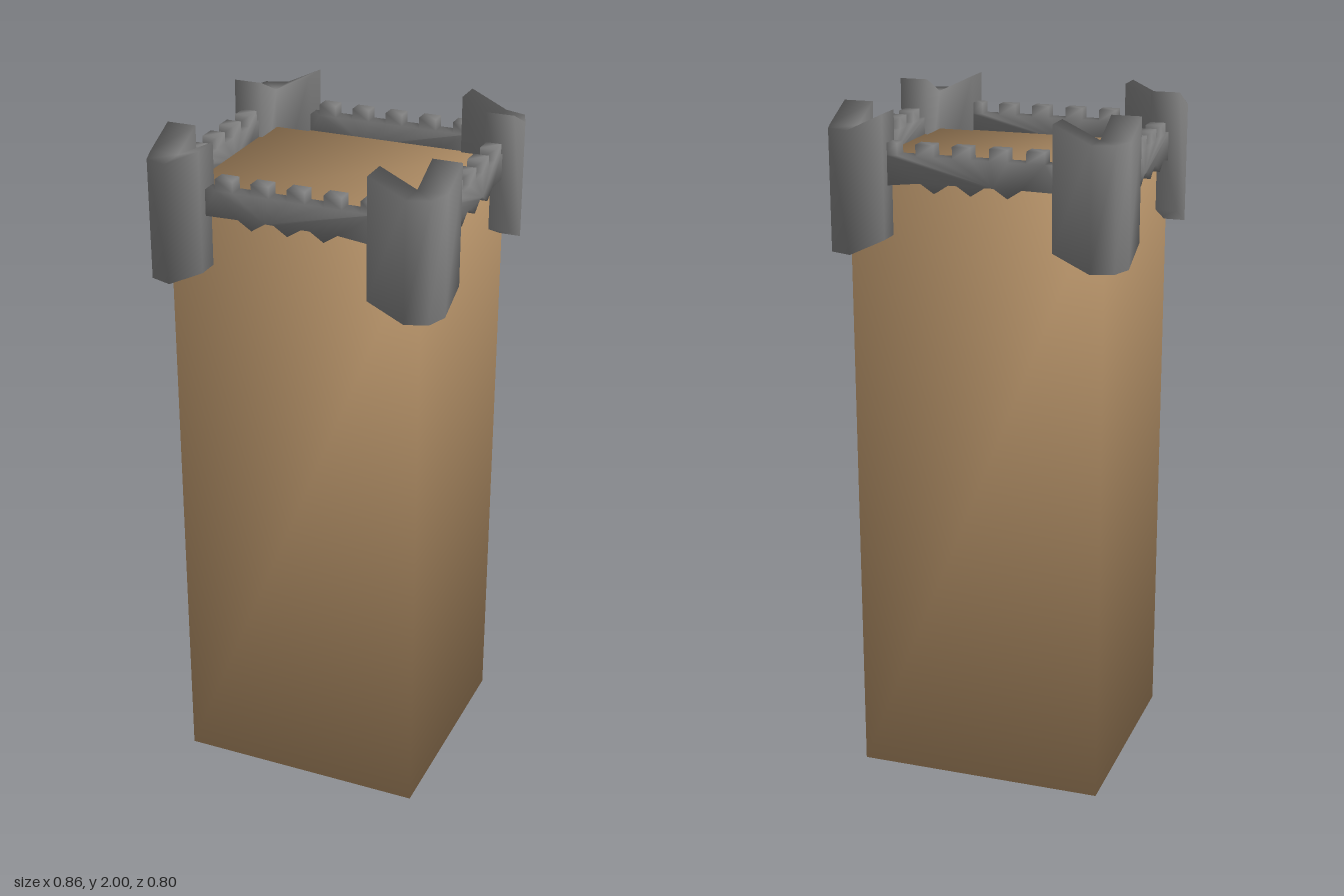
import * as THREE from 'three';
import { mergeVertices } from 'three/addons/utils/BufferGeometryUtils.js';

const stone = new THREE.MeshStandardMaterial({ color: 0x808080 });
const clay = new THREE.MeshStandardMaterial({ color: 0xb8946a });

// Weld all corners so that normals run smoothly across the edges
function smooth(geometry) {
  geometry.deleteAttribute('normal');
  geometry.deleteAttribute('uv');
  const welded = mergeVertices(geometry, 1e-4);
  welded.computeVertexNormals();
  return welded;
}

function part(name, geometry, material) {
  const mesh = new THREE.Mesh(geometry, material);
  mesh.name = name;
  return mesh;
}

// Tall block whose eight corner normals point diagonally outwards
function shaftGeometry(w, h, d) {
  const geo = smooth(new THREE.BoxGeometry(w, h, d));
  const p = geo.attributes.position, n = geo.attributes.normal;
  const v = new THREE.Vector3();
  for (let i = 0; i < p.count; i++) {
    v.set(Math.sign(p.getX(i)), Math.sign(p.getY(i)), Math.sign(p.getZ(i))).normalize();
    n.setXYZ(i, v.x, v.y, v.z);
  }
  return geo.translate(0, h / 2, 0);
}

// L-shaped corner turret: sections swept round the corner, rising at both ends
function turretGeometry(sx, sz) {
  // outer x, outer z, inner x, inner z, bottom, top
  const sections = [
    [0.24, 0.40, 0.24, 0.315, 1.655, 2.0],
    [0.345, 0.40, 0.345, 0.315, 1.605, 1.95],
    [0.408, 0.378, 0.345, 0.315, 1.605, 1.95],
    [0.43, 0.315, 0.345, 0.315, 1.605, 1.95],
    [0.43, 0.21, 0.345, 0.21, 1.655, 2.0],
  ];
  const pos = [], index = [];
  for (const [ox, oz, ix, iz, y0, y1] of sections) {
    pos.push(ox * sx, y0, oz * sz, ox * sx, y1, oz * sz);
    pos.push(ix * sx, y1, iz * sz, ix * sx, y0, iz * sz);
  }
  const tri = (a, b, c) => (sx * sz > 0 ? index.push(a, b, c) : index.push(a, c, b));
  const last = (sections.length - 1) * 4;
  for (let s = 0; s < last; s += 4) {
    for (let k = 0; k < 4; k++) {
      const m = (k + 1) % 4;
      // the inside edge is shared by the three middle sections
      if (k === 2 && s > 0 && s < last - 4) continue;
      tri(s + k, s + 4 + k, s + 4 + m);
      tri(s + k, s + 4 + m, s + m);
    }
  }
  tri(0, 1, 2); tri(0, 2, 3);
  tri(last, last + 2, last + 1); tri(last, last + 3, last + 2);
  const geo = new THREE.BufferGeometry();
  geo.setAttribute('position', new THREE.Float32BufferAttribute(pos, 3));
  geo.setIndex(index);
  return smooth(geo);
}

// Parapet: merlons along the top, pointed scallops along the bottom
function parapetGeometry(half, first, count) {
  const pitch = 0.105, width = 0.052;
  const shape = new THREE.Shape();
  shape.moveTo(-half, 1.81);
  for (let i = 1; i < 4; i++) {
    const x = first + i * pitch;
    shape.lineTo(x - 0.04, 1.812);
    shape.lineTo(x, 1.786);
    shape.lineTo(x + 0.04, 1.812);
  }
  shape.lineTo(half, 1.80);
  shape.lineTo(half, 1.885);
  for (let i = count - 1; i >= 0; i--) {
    const a = first + i * pitch, b = Math.min(a + width, half - 0.004);
    shape.lineTo(b, 1.885);
    shape.lineTo(b, 1.918);
    shape.lineTo(a, 1.918);
    shape.lineTo(a, 1.885);
  }
  shape.lineTo(-half, 1.885);
  return smooth(new THREE.ExtrudeGeometry(shape, { depth: 0.045, bevelEnabled: false }));
}

export function createModel() {
  const tower = new THREE.Group();
  tower.name = 'tower';
  tower.add(part('shaft', shaftGeometry(0.734, 1.835, 0.67), clay));

  // Four corner turrets
  for (const sx of [1, -1]) {
    for (const sz of [1, -1]) {
      const name = (sz > 0 ? 'front' : 'back') + (sx > 0 ? 'Left' : 'Right') + 'Turret';
      tower.add(part(name, turretGeometry(sx, sz), stone));
    }
  }

  // Front and back parapets
  const longWall = parapetGeometry(0.25, -0.21, 5);
  for (const [name, z] of [['frontParapet', 0.325], ['backParapet', -0.37]]) {
    const wall = part(name, longWall, stone);
    wall.position.z = z;
    tower.add(wall);
  }

  // Side parapets
  const shortWall = parapetGeometry(0.22, -0.197, 4);
  for (const [name, x] of [['leftParapet', 0.40], ['rightParapet', -0.355]]) {
    const wall = part(name, shortWall, stone);
    wall.rotation.y = -Math.PI / 2;
    wall.position.x = x;
    tower.add(wall);
  }
  return tower;
}
